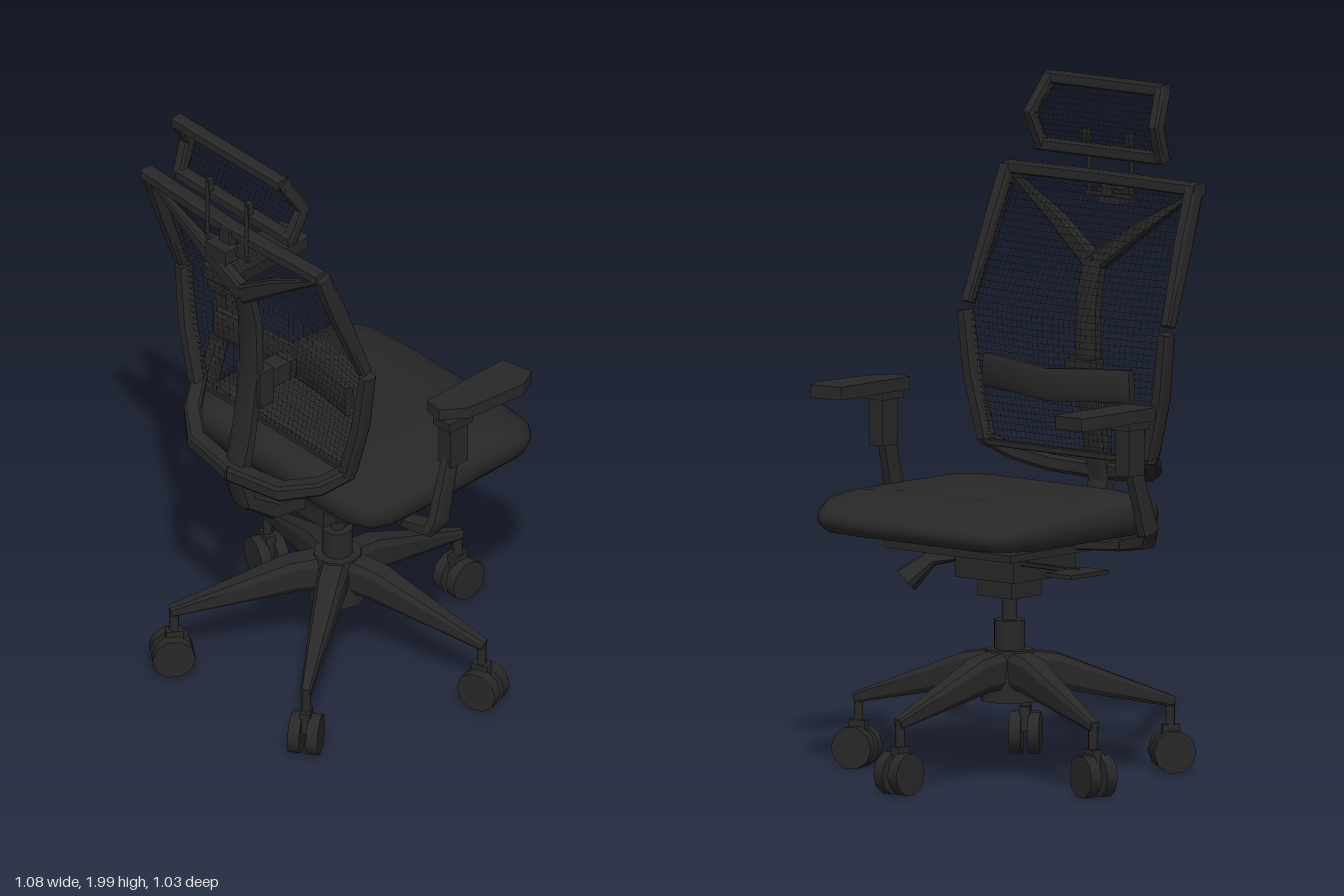
import * as THREE from 'three';
import { toCreasedNormals } from 'three/addons/utils/BufferGeometryUtils.js';

const V = (x, y, z) => new THREE.Vector3(x, y, z);

// Closed solid through a list of rings, each counter-clockwise about the path
function loft(rings, crease = 0.5) {
  const n = rings[0].length, pos = [], idx = [];
  rings.forEach(r => r.forEach(p => pos.push(p.x, p.y, p.z)));
  for (let i = 0; i < rings.length - 1; i++) {
    for (let j = 0; j < n; j++) {
      const k = (j + 1) % n, a = i * n + j, b = i * n + k, c = b + n, d = a + n;
      idx.push(a, b, c, a, c, d);
    }
  }
  const e = (rings.length - 1) * n;
  for (let j = 1; j < n - 1; j++) idx.push(0, j + 1, j, e, e + j, e + j + 1);
  const g = new THREE.BufferGeometry();
  g.setAttribute('position', new THREE.Float32BufferAttribute(pos, 3));
  g.setIndex(idx);
  return toCreasedNormals(g, crease);
}

// Bar with chamfered rectangular section; sizes are [across, along up] per point
function sweep(path, sizes, up) {
  const pts = path.map(p => V(...p)), last = pts.length - 1;
  const corner = [[1, .6], [.7, 1], [-.7, 1], [-1, .6], [-1, -.6], [-.7, -1], [.7, -1], [1, -.6]];
  return loft(pts.map((p, i) => {
    const t = pts[Math.min(i + 1, last)].clone().sub(pts[Math.max(i - 1, 0)]).normalize();
    const s = t.clone().cross(up).normalize(), m = t.clone().cross(s);
    const [w, h] = sizes[Math.min(i, sizes.length - 1)];
    return corner.map(([a, b]) => p.clone().addScaledVector(s, a * w / 2).addScaledVector(m, b * h / 2));
  }));
}

// Net of fine flat threads over a surface f(u, v)
function net(f, nu, nv, width) {
  const pos = [], idx = [], steps = 12;
  const thread = (curve, off) => {
    for (let i = 0; i <= steps; i++) {
      const p = curve(i / steps), b = pos.length / 3;
      pos.push(p.x - off.x, p.y - off.y, p.z, p.x + off.x, p.y + off.y, p.z);
      if (i < steps) idx.push(b, b + 1, b + 3, b, b + 3, b + 2);
    }
  };
  for (let i = 1; i < nu; i++) thread(t => f(i / nu, t), V(width / 2, 0, 0));
  for (let j = 1; j < nv; j++) thread(t => f(t, j / nv), V(0, width / 2, 0));
  const g = new THREE.BufferGeometry();
  g.setAttribute('position', new THREE.Float32BufferAttribute(pos, 3));
  g.setIndex(idx);
  g.computeVertexNormals();
  return g;
}

export function createModel() {
  const root = new THREE.Group();
  root.name = 'officeChair';
  const black = new THREE.MeshStandardMaterial({ color: 0x282828, side: THREE.DoubleSide });
  black.name = 'black';
  const X = V(1, 0, 0), Y = V(0, 1, 0), Z = V(0, 0, 1);

  const add = (name, geo, parent = root, x = 0, y = 0, z = 0) => {
    const m = new THREE.Mesh(geo, black);
    m.name = name;
    m.position.set(x, y, z);
    parent.add(m);
    return m;
  };
  const box = (name, w, h, d, x, y, z, parent) => add(name, new THREE.BoxGeometry(w, h, d), parent, x, y, z);
  const cyl = (name, rt, rb, h, x, y, z, parent, n = 12) =>
    add(name, new THREE.CylinderGeometry(rt, rb, h, n), parent, x, y, z);

  // Five-star base with twin-wheel casters
  const cz = 0.03;
  cyl('baseHub', 0.07, 0.085, 0.15, 0, 0.305, cz);
  for (let k = 0; k < 5; k++) {
    const leg = new THREE.Group();
    leg.name = 'baseLeg';
    leg.position.z = cz;
    leg.rotation.y = Math.PI + k * Math.PI * 2 / 5;
    root.add(leg);
    add('legArm', sweep([[0, .325, .02], [0, .315, .13], [0, .21, .485]], [[.085, .11], [.08, .1], [.03, .03]], Y), leg);
    cyl('casterStem', .014, .014, .1, 0, .17, .475, leg, 8);
    box('casterFork', .03, .07, .05, 0, .11, .475, leg);
    for (const s of [-1, 1]) {
      cyl('casterWheel', .063, .063, .034, s * .027, .067, .48, leg, 10).rotation.z = Math.PI / 2;
    }
  }

  // Gas column and tilt mechanism
  cyl('columnSleeve', .045, .045, .1, 0, .415, cz);
  cyl('columnRod', .022, .022, .1, 0, .5, cz);
  box('mechanismNeck', .13, .06, .13, 0, .565, cz);
  box('mechanismBox', .225, .08, .27, 0, .63, .055);
  box('seatPlate', .485, .022, .46, 0, .69, -.01);
  box('columnCap', .09, .03, .1, 0, .675, cz);
  box('tiltLever', .1, .012, .16, -.362, .645, -.085);
  add('tiltRod', sweep([[-.1, .645, -.04], [-.34, .645, -.05]], [[.014, .014]], Y));
  add('heightLever', sweep([[.1, .65, -.04], [.185, .64, -.1], [.235, .575, -.155]], [[.02, .02], [.045, .04], [.07, .06]], Z));

  // Seat cushion: rounded outline in scaled layers, drooping toward the knees
  const half = [[.30, .285], [.38, .25], [.405, .19], [.41, 0], [.405, -.33], [.375, -.385], [.33, -.42], [.2, -.435]];
  const outline = [...half, ...half.map(([x, z]) => [-x, z]).reverse()];
  const layers = [[.6, .718], [.95, .735], [.99, .755], [1, .785], [.99, .81], [.95, .832], [.8, .845], [.45, .85]];
  add('seatCushion', loft(layers.map(([s, y]) => outline.map(([x, z]) => {
    const pz = -.07 + (z + .07) * s;
    const droop = Math.max(0, -pz - .28) / .155 * Math.max(0, y - .75) * .5;
    return V(x * s, y - droop, pz);
  })), .9));

  // Armrests; the pad on the left is turned slightly inward
  const plainPad = [[-.425, .06], [-.425, -.25], [-.435, -.26], [-.535, -.26], [-.54, -.25], [-.54, .055], [-.53, .065]];
  const turnedPad = [[.41, .06], [.47, .07], [.52, 0], [.54, -.2], [.51, -.26], [.41, -.24]];
  for (const s of [-1, 1]) {
    const arm = new THREE.Group();
    arm.name = s > 0 ? 'leftArmrest' : 'rightArmrest';
    root.add(arm);
    const pad = s > 0 ? turnedPad : plainPad;
    add('armPad', loft([1.092, 1.13].map(y => pad.map(([x, z]) => V(x, y, z)))), arm);
    box('padMount', .07, .03, .09, s * .475, 1.08, .02, arm);
    box('armSleeve', .052, .15, .068, s * .475, 1.005, .018, arm);
    add('armPost', sweep([[s * .475, .97, .025], [s * .485, .76, .085], [s * .47, .73, .095], [s * .36, .705, .1]],
      [[.035, .045], [.042, .06], [.045, .06], [.03, .05]], Z), arm);
    add('armBracket', sweep([[s * .38, .71, .1], [s * .2, .7, .06]], [[.03, .06]], Z), arm);
  }

  // Spine rising from the mechanism, forking to the upper corners
  add('spine', sweep([[0, .64, .15], [0, .665, .3], [0, .74, .4], [0, .83, .43], [0, 1.0, .395], [0, 1.18, .37],
    [0, 1.36, .375], [0, 1.49, .405]], [[.07, .07], [.06, .075], [.05, .075], [.045, .075], [.035, .075]], X));
  for (const s of [-1, 1]) {
    add('spineFork', sweep([[0, 1.46, .4], [s * .16, 1.575, .42], [s * .345, 1.69, .435]],
      [[.06, .04], [.045, .035], [.012, .015]], Z));
  }

  // Backrest frame
  add('frameTop', sweep([[-.38, 1.708, .43], [0, 1.708, .445], [.36, 1.708, .43]], [[.036, .045]], Z));
  for (const s of [-1, 1]) {
    add('frameUpperSide', sweep([[s * .358, 1.71, .43], [s * .368, 1.55, .37], [s * .385, 1.325, .285]], [[.045, .045], [.04, .05], [.035, .035]], Z));
    add('frameLowerSide', sweep([[s * .388, 1.305, .275], [s * .365, 1.12, .28], [s * .315, .935, .285]], [[.035, .045], [.04, .05], [.04, .05]], Z));
    add('frameLowerCorner', sweep([[s * .32, .94, .275], [s * .27, .895, .35], [s * .18, .865, .42], [0, .855, .445]],
      [[.045, .04], [.05, .045], [.055, .05], [.055, .05]], Y));
  }
  add('frameBottom', sweep([[-.32, .928, .275], [0, .928, .27], [.32, .928, .275]], [[.02, .02]], Z));

  // Backrest net, bowed toward the sitter
  add('backNet', net((u, v) => {
    const y = .93 + .77 * v, a = Math.min(1, (y - .93) / .38), b = Math.max(0, (y - 1.31) / .39);
    const s = 2 * u - 1;
    return V(s * (.31 + .07 * a - .03 * b), y, .28 + .145 * b - .04 * (1 - s * s) * Math.sin(Math.PI * v));
  }, 36, 40, .0012));

  // Lumbar support and its mount on the spine
  add('lumbarPad', sweep([[-.28, 1.145, .245], [-.14, 1.14, .22], [0, 1.13, .2], [.14, 1.14, .22], [.28, 1.145, .245]], [[.095, .03]], Z));
  box('lumbarMount', .1, .12, .055, 0, 1.13, .355);
  box('lumbarLink', .06, .06, .13, 0, 1.13, .27);

  // Headrest: folded frame, net and carrier
  const headBar = (name, path) => add(name, sweep(path, [[.036, .04]], Z));
  headBar('headrestTop', [[-.225, 1.98, .455], [.225, 1.98, .455]]);
  headBar('headrestBottom', [[-.23, 1.785, .435], [.245, 1.785, .435]]);
  for (const s of [-1, 1]) {
    headBar('headrestSide', [[s * .215, 1.985, .455], [s * .242, 1.88, .395], [s * .23, 1.78, .435]]);
  }
  add('headrestNet', net((u, v) => V((2 * u - 1) * .23, 1.785 + .195 * v,
    v < .5 ? .435 - .09 * v : .39 + .13 * (v - .5)), 24, 12, .0012));
  for (const x of [-.085, .08]) {
    cyl('headrestRod', .006, .006, .2, x, 1.74, .465, root, 6);
    box('rodClip', .016, .04, .02, x, 1.825, .455);
  }
  box('headrestCarrier', .085, .045, .05, 0, 1.652, .487);
  box('carrierBar', .18, .014, .014, 0, 1.655, .465);
  box('carrierNeck', .04, .07, .025, 0, 1.685, .465);

  return root;
}
